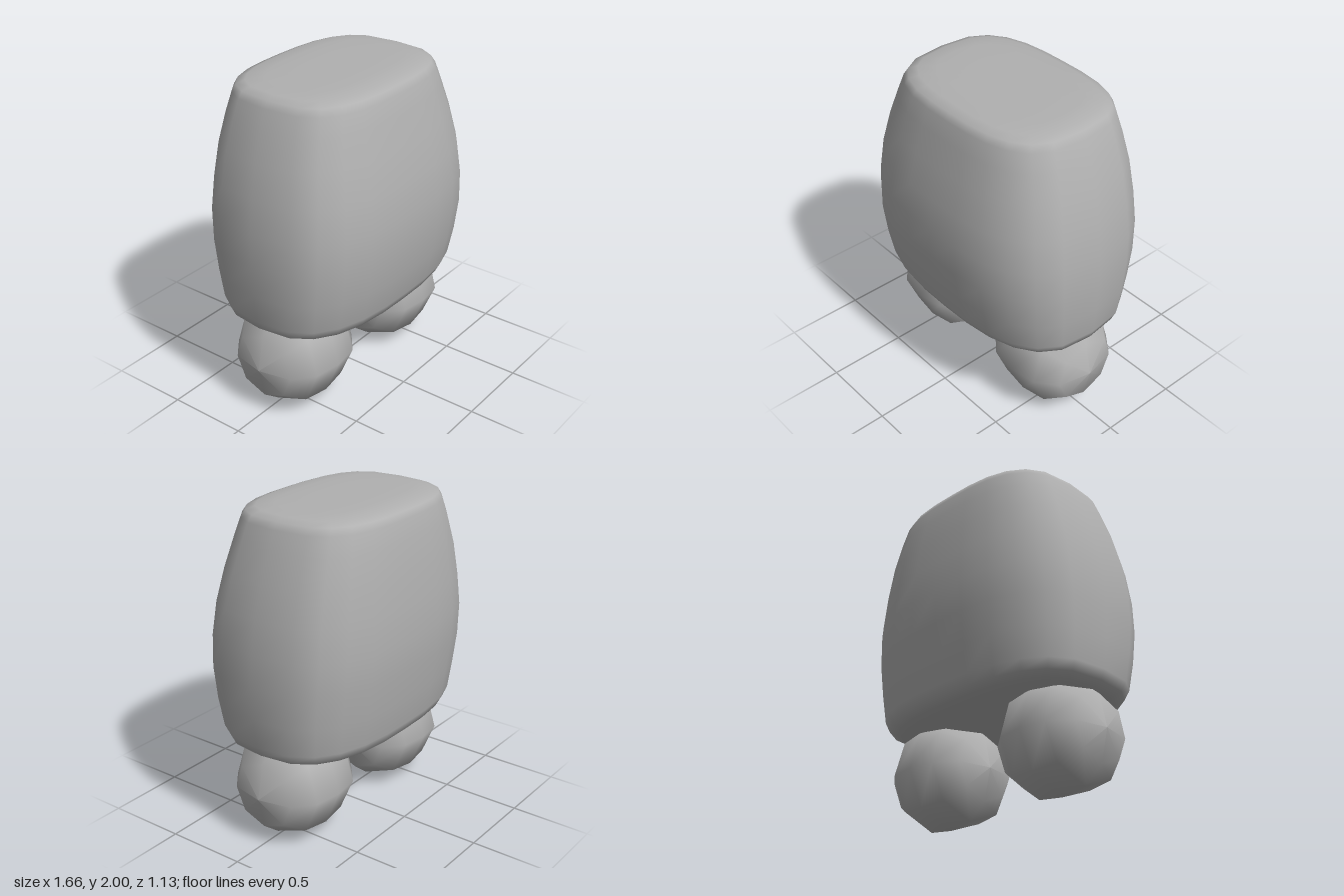
import * as THREE from 'three';

const SEGMENTS = 24;

// Half-depth of a rounded oval at the fraction u of its half-width
const bulge = (u, n) => Math.pow(Math.max(0, 1 - Math.pow(Math.abs(u), n)), 1 / n);

// Closed body lofted through rounded ovals: [y, halfWidth, frontZ, backZ]
function loft(rings) {
  const positions = [];
  const indices = [];
  const addPoint = (x, y, z) => positions.push(x, y, z) / 3 - 1;

  rings.forEach(([y, halfWidth, front, back], r) => {
    const n = 2.7 + 0.4 * r / (rings.length - 1);
    const middle = (front + back) / 2;
    for (let i = 0; i < SEGMENTS; i++) {
      const a = (i / SEGMENTS) * Math.PI * 2;
      const depth = Math.sign(Math.sin(a)) * bulge(Math.cos(a), n) * (front - back) / 2;
      addPoint(halfWidth * Math.cos(a), y, middle + depth);
    }
  });

  for (let r = 0; r < rings.length - 1; r++) {
    for (let i = 0; i < SEGMENTS; i++) {
      const j = (i + 1) % SEGMENTS;
      const a = r * SEGMENTS + i, b = r * SEGMENTS + j;
      const c = a + SEGMENTS, d = b + SEGMENTS;
      indices.push(a, c, b, b, c, d);
    }
  }

  // Fans closing the bottom and the top
  const last = rings.length - 1;
  const centre = ([y, , front, back]) => addPoint(0, y, (front + back) / 2);
  const bottom = centre(rings[0]);
  const top = centre(rings[last]);
  for (let i = 0; i < SEGMENTS; i++) {
    const j = (i + 1) % SEGMENTS;
    indices.push(bottom, i, j);
    indices.push(top, last * SEGMENTS + j, last * SEGMENTS + i);
  }

  const geometry = new THREE.BufferGeometry();
  geometry.setAttribute('position', new THREE.Float32BufferAttribute(positions, 3));
  geometry.setIndex(indices);
  geometry.computeVertexNormals();
  return geometry;
}

// Eight-sided ball with its poles on the x axis and slightly full shoulders
function footGeometry() {
  const profile = [];
  for (let k = 0; k <= 6; k++) {
    const u = -Math.cos((k / 6) * Math.PI);
    profile.push(new THREE.Vector2(0.325 * bulge(u, 2.5), 0.343 * u));
  }
  const geometry = new THREE.LatheGeometry(profile, 8);
  geometry.rotateZ(Math.PI / 2);
  // Fuller at the top where it enters the body
  const p = geometry.attributes.position;
  for (let i = 0; i < p.count; i++) {
    const upper = p.getY(i) > 0.01;
    p.setY(i, p.getY(i) * (upper ? 1.06 : 0.98));
    p.setZ(i, p.getZ(i) * (upper ? 1.13 : 1.03));
  }
  return geometry;
}

export function createModel() {
  const model = new THREE.Group();
  model.name = 'stubbyFigure';
  const grey = new THREE.MeshStandardMaterial({ color: 0xb0b0b0 });
  grey.name = 'plain grey';

  // Torso, wide at the hips and tapering to a flat top
  const torso = new THREE.Mesh(loft([
    [0.56, 0.35, 0.20, -0.20],
    [0.565, 0.62, 0.37, -0.37],
    [0.58, 0.72, 0.43, -0.44],
    [0.61, 0.775, 0.475, -0.485],
    [0.67, 0.80, 0.505, -0.51],
    [0.85, 0.82, 0.54, -0.535],
    [1.05, 0.83, 0.565, -0.56],
    [1.25, 0.82, 0.565, -0.57],
    [1.45, 0.79, 0.54, -0.555],
    [1.65, 0.74, 0.495, -0.535],
    [1.82, 0.68, 0.45, -0.505],
    [1.93, 0.635, 0.42, -0.48],
    [1.97, 0.61, 0.395, -0.46],
    [1.99, 0.56, 0.34, -0.41],
    [2.0, 0.46, 0.24, -0.31],
    [2.0, 0.25, 0.10, -0.17],
  ]), grey);
  torso.name = 'torso';
  model.add(torso);

  // Pair of round feet
  const foot = footGeometry();
  for (const [name, side] of [['leftFoot', 1], ['rightFoot', -1]]) {
    const mesh = new THREE.Mesh(foot, grey);
    mesh.name = name;
    mesh.position.set(side * 0.457, 0.323, 0);
    model.add(mesh);
  }
  return model;
}
